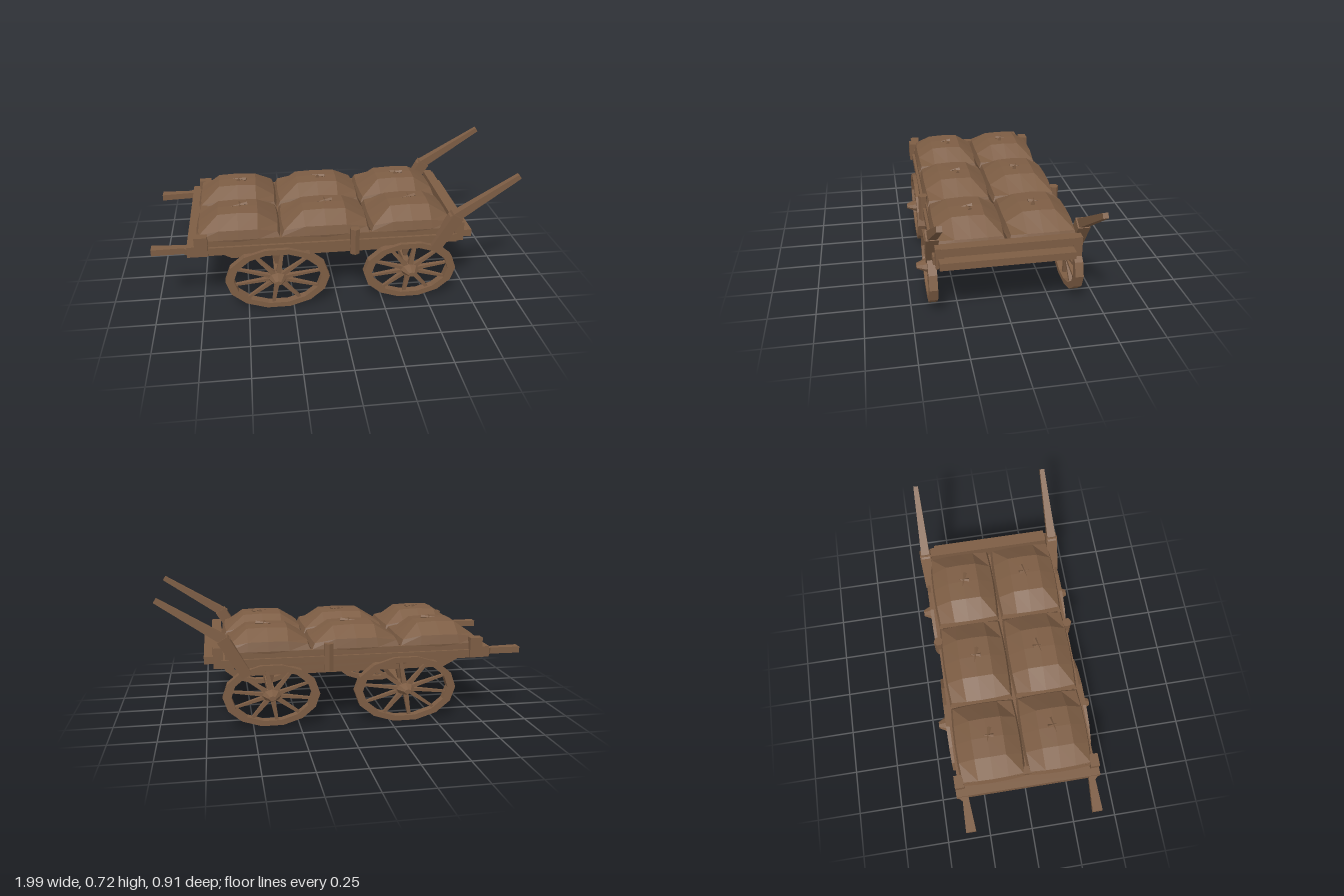
import * as THREE from 'three';

export function createModel() {
  const model = new THREE.Group();
  model.name = 'loadedCart';
  const brown = new THREE.MeshStandardMaterial({ color: 0x7d5d44 });
  brown.name = 'weatheredBrown';

  // Faceted mesh helper
  const add = (parent, name, geometry) => {
    const flat = geometry.index ? geometry.toNonIndexed() : geometry;
    flat.computeVertexNormals();
    const mesh = new THREE.Mesh(flat, brown);
    mesh.name = name;
    parent.add(mesh);
    return mesh;
  };
  // Box given by its extents
  const box = (name, x0, x1, y0, y1, z0, z1) => {
    const mesh = add(model, name, new THREE.BoxGeometry(x1 - x0, y1 - y0, z1 - z0));
    mesh.position.set((x0 + x1) / 2, (y0 + y1) / 2, (z0 + z1) / 2);
    return mesh;
  };
  // Four-sided tapered bar between two points
  const bar = (parent, name, a, b, r0, r1) => {
    const from = new THREE.Vector3(...a), to = new THREE.Vector3(...b);
    const dir = to.clone().sub(from);
    const geometry = new THREE.CylinderGeometry(r1, r0, dir.length(), 4).rotateY(Math.PI / 4);
    const mesh = add(parent, name, geometry);
    mesh.position.copy(from).add(to).multiplyScalar(0.5);
    mesh.quaternion.setFromUnitVectors(new THREE.Vector3(0, 1, 0), dir.normalize());
    return mesh;
  };
  // Polygon outline for wheel rims
  const ring = (path, r, sides) => {
    for (let i = 0; i < sides; i++) {
      const a = (i / sides) * Math.PI * 2;
      if (i) path.lineTo(r * Math.cos(a), r * Math.sin(a));
      else path.moveTo(r, 0);
    }
    path.closePath();
    return path;
  };

  // Flattened spoked wheels
  const wheel = (x, y, side, r, squash) => {
    const group = new THREE.Group();
    group.name = 'wheel';
    const shape = ring(new THREE.Shape(), r, 14);
    shape.holes.push(ring(new THREE.Path(), r - 0.045, 14));
    const rim = new THREE.ExtrudeGeometry(shape, { depth: 0.045, bevelEnabled: false });
    add(group, 'rim', rim.translate(0, 0, -0.022));
    for (let i = 0; i < 10; i++) {
      const a = (i / 10) * Math.PI * 2 + 0.2;
      const c = Math.cos(a), s = Math.sin(a);
      bar(group, 'spoke', [c * 0.03, s * 0.03, 0], [c * (r - 0.03), s * (r - 0.03), 0], 0.02, 0.012);
    }
    const hub = new THREE.LatheGeometry([
      [0, -0.05], [0.04, -0.05], [0.058, 0], [0.04, 0.035], [0.02, 0.07], [0, 0.07],
    ].map(p => new THREE.Vector2(...p)), 8).rotateX(Math.PI / 2 * side);
    add(group, 'hub', hub);
    group.position.set(x, y, side * 0.385);
    group.scale.y = squash;
    model.add(group);
  };

  for (const [x, y, r, squash] of [[-0.335, 0.188, 0.285, 0.65], [0.4, 0.19, 0.26, 0.66]]) {
    for (const side of [1, -1]) {
      wheel(x, y, side, r, squash);
      // Pointed axle bracket under the bed
      const bracket = add(model, 'axleBracket',
        new THREE.CylinderGeometry(0.055, 0.012, 0.13, 4).rotateY(Math.PI / 4));
      bracket.position.set(x, 0.275, side * 0.27);
    }
    bar(model, 'axle', [x, 0.19, -0.38], [x, 0.19, 0.38], 0.027, 0.024);
  }

  // Bed floor and end boards
  box('bedFloor', -0.74, 0.65, 0.34, 0.37, -0.36, 0.36);
  box('tailBoard', -0.75, -0.71, 0.35, 0.455, -0.36, 0.36);
  box('frontBoard', 0.65, 0.69, 0.34, 0.455, -0.355, 0.355);
  box('frontRail', 0.69, 0.75, 0.36, 0.4, -0.33, 0.36);
  box('frontTopRail', 0.67, 0.705, 0.415, 0.455, -0.35, 0.35);
  box('tailCrossbar', -0.81, -0.75, 0.35, 0.41, -0.4, 0.4);

  for (const s of [1, -1]) {
    const mirrored = (name, x0, x1, y0, y1, z0, z1) =>
      box(name, x0, x1, y0, y1, Math.min(s * z0, s * z1), Math.max(s * z0, s * z1));
    // Side planks, corner posts and stakes
    mirrored('lowerSidePlank', -0.75, 0.66, 0.345, 0.39, 0.35, 0.385);
    mirrored('upperSidePlank', -0.72, 0.64, 0.385, 0.425, 0.345, 0.37);
    mirrored('cornerPost', -0.77, -0.7, 0.35, 0.46, 0.35, 0.4);
    mirrored('frontPost', 0.65, 0.7, 0.345, 0.455, 0.33, 0.375);
    const stake = add(model, 'sideStake', new THREE.CylinderGeometry(0.028, 0.028, 0.15, 6));
    stake.position.set(0.09, 0.385, s * 0.38);

    // Long stringer with slanted ends
    const stringer = new THREE.Shape([[-0.72, 0.35], [-0.58, 0.275], [0.5, 0.275], [0.6, 0.35]]
      .map(p => new THREE.Vector2(...p)));
    add(model, 'stringer', new THREE.ExtrudeGeometry(stringer, { depth: 0.06, bevelEnabled: false }))
      .position.z = s * 0.27 - 0.03;

    // Raised shafts at one end, level handles at the other
    bar(model, 'shaftFoot', [0.53, 0.31, s * 0.385], [0.65, 0.51, s * 0.385], 0.04, 0.046);
    bar(model, 'raisedShaft', [0.62, 0.49, s * 0.385], [0.98, 0.72, s * 0.378], 0.036, 0.019);
    const handle = new THREE.Shape([[-1, 0.32], [-0.76, 0.34], [-0.72, 0.39], [-0.8, 0.4], [-0.83, 0.37], [-1, 0.375]]
      .map(p => new THREE.Vector2(p[0], s * p[1])));
    const handleGeometry = new THREE.ExtrudeGeometry(handle, { depth: 0.035, bevelEnabled: false });
    add(model, 'levelHandle', handleGeometry.rotateX(Math.PI / 2)).position.y = 0.393;
  }

  // Plump sacks: a block bulged towards the middle, corners pinched
  const sack = (x0, x1, s) => {
    const geometry = new THREE.BoxGeometry(2, 2, 2, 4, 2, 4);
    const p = geometry.attributes.position;
    const w = (x1 - x0) / 2;
    for (let i = 0; i < p.count; i++) {
      const u = p.getX(i), v = p.getY(i), t = p.getZ(i);
      const dome = (1 - u * u * u * u * 0.95) * (1 - t * t * t * t * 0.75);
      const y = v > 0 ? 0.455 + 0.085 * dome : v < 0 ? 0.37 : 0.425;
      const pinch = v === 0 ? 1.02 : 0.96;
      p.setXYZ(i, u * w * pinch * (1 - 0.04 * t * t), y, t * 0.183 * pinch * (1 - 0.05 * u * u));
    }
    add(model, 'sack', geometry).position.set((x0 + x1) / 2, 0, s * 0.186);
    // Tied knot: small crossed folds on top
    for (const [angle, length] of [[0.3, 0.09], [1.7, 0.06]]) {
      const fold = add(model, 'sackKnot', new THREE.ConeGeometry(0.012, length, 4).rotateZ(Math.PI / 2));
      fold.position.set((x0 + x1) / 2 + 0.01, 0.54, s * 0.18);
      fold.rotation.y = angle * s;
    }
  };
  for (const [x0, x1] of [[-0.76, -0.31], [-0.31, 0.18], [0.18, 0.64]])
    for (const s of [1, -1]) sack(x0, x1, s);

  return model;
}
